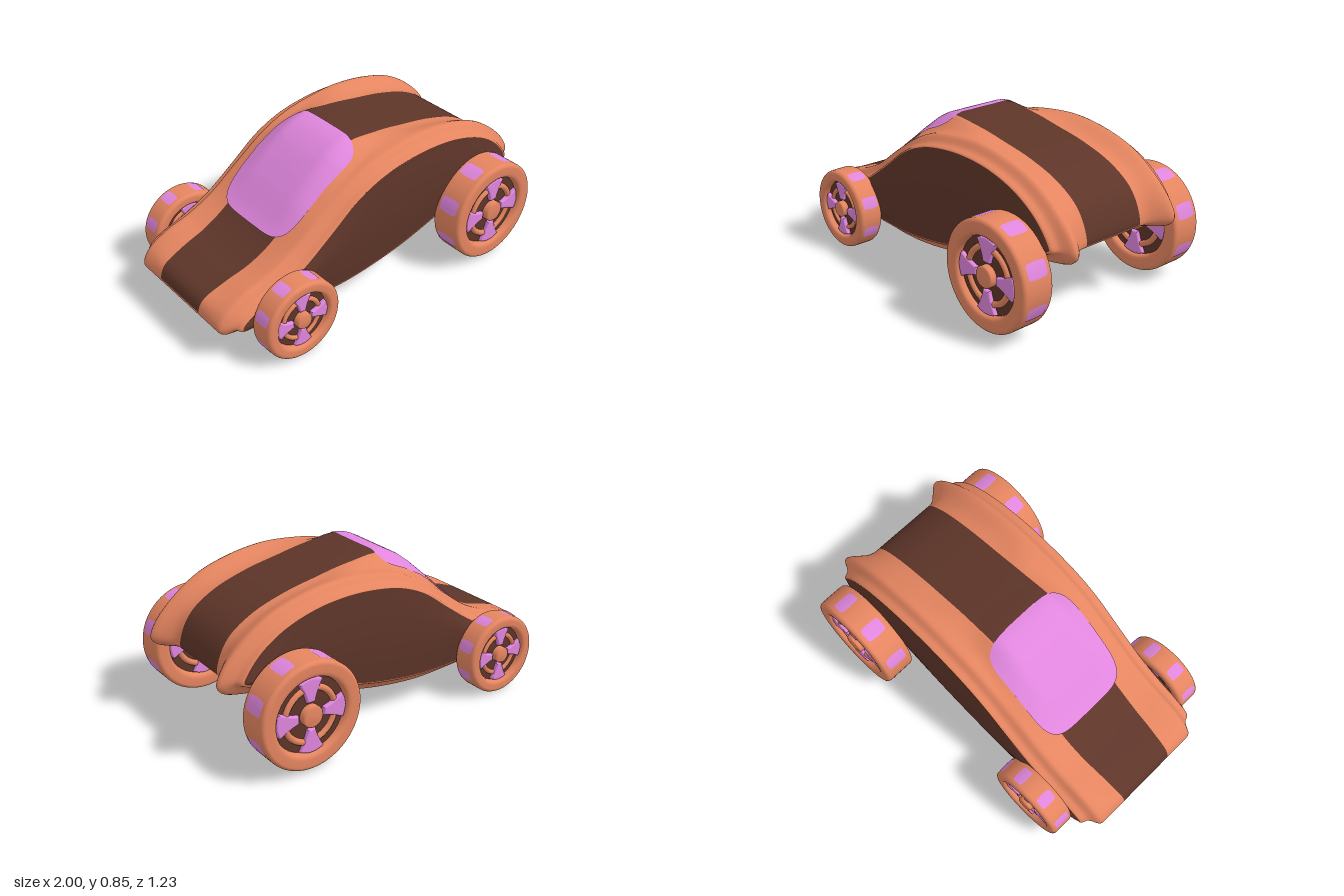
import * as THREE from 'three';

const mat = (color) => new THREE.MeshStandardMaterial({ color });
const orange = mat(0xe58560), dark = mat(0x5e3529), pink = mat(0xe086dd);
const { lerp, smoothstep } = THREE.MathUtils;
const Z0 = 0.01; // body centre line

// Closed side outlines (nose, over the top, tail, back along the floor), matched point by point
const centreLine = [
  [-1, .22], [-.975, .285], [-.85, .34], [-.7, .385], [-.55, .47], [-.38, .638], [-.2, .79], [-.06, .848],
  [.12, .828], [.3, .797], [.5, .76], [.7, .695], [.83, .61], [.89, .515], [.906, .43], [.88, .408],
  [.65, .33], [.4, .242], [.1, .162], [-.2, .122], [-.45, .127], [-.75, .148], [-.93, .165], [-.985, .185]];
const fenderLine = [
  [-1, .22], [-.96, .29], [-.85, .355], [-.7, .4], [-.55, .47], [-.38, .59], [-.2, .71], [-.05, .775],
  [.12, .808], [.3, .822], [.5, .8], [.7, .74], [.86, .635], [.97, .52], [.998, .45], [.965, .406],
  [.67, .337], [.4, .242], [.1, .162], [-.2, .122], [-.45, .127], [-.75, .148], [-.93, .165], [-.985, .185]];
const panelLine = [
  [-.91, .225], [-.895, .25], [-.82, .29], [-.69, .335], [-.54, .405], [-.36, .53], [-.19, .654], [-.04, .72],
  [.12, .753], [.3, .763], [.49, .743], [.67, .685], [.8, .602], [.88, .51], [.895, .475], [.86, .455],
  [.64, .395], [.38, .31], [.1, .235], [-.2, .195], [-.45, .195], [-.72, .205], [-.86, .212], [-.9, .216]];
const COUNT = centreLine.length;
const [centre, fender, panel] = [centreLine, fenderLine, panelLine].map((line) =>
  new THREE.CatmullRomCurve3(line.map(([x, y]) => new THREE.Vector3(x, y, 0)), true));

// Cabin drops to the fenders, more gently along the windscreen; the tail sweeps up to them in a hollow curve
function fenderBlend(t, z) {
  const a = Math.abs(z);
  const cabin = smoothstep(a, .15, lerp(.36, .3, smoothstep(t, 5, 7.5)));
  const hollow = smoothstep(a, .19, .345) ** 1.5;
  return lerp(cabin, hollow, smoothstep(t, 7.5, 9.5));
}
const panelSpine = (x) => .475 + .136 * x - .153 * x * x;

// Point of the body skin: t counts outline points, q insets to the panel rim, k closes the panel
function skin(t, z, q = 0, k = 0) {
  const u = (t / COUNT + 1) % 1;
  const p = centre.getPoint(u).lerp(fender.getPoint(u), fenderBlend(t, z));
  p.lerp(panel.getPoint(u), q);
  p.x *= 1 - .08 * k;
  p.y = lerp(p.y, panelSpine(p.x), k);
  p.z = z + Z0;
  return p;
}

// The stripe is narrow at the nose and widest at the foot of the windscreen
const stripeWidth = (t) => t > 14 ? .92 : lerp(lerp(.92, 1.08, smoothstep(t, 0, 4)), 1, smoothstep(t, 5, 9));

function addBody(car) {
  // Stations from the centre line outwards: [z, q, k]
  const half = [0, .1, .185, .205, .22, .235, .25, .265, .28, .295, .31, .325].map((z) => [z, 0, 0]);
  half.push([.338, .02, 0], [.35, .1, 0], [.36, .28, 0], [.37, .5, 0], [.38, .66, 0], [.39, .75, 0],
    [.402, .8, 0], [.414, .86, 0], [.421, .94, 0], [.42, 1, 0]);
  for (let i = 1; i <= 8; i++) {
    half.push([.42 + .018 * Math.sin(i / 8 * Math.PI / 2), 1, i / 8]);
  }
  const stations = [...half.slice(1).reverse().map(([z, q, k]) => [-z, q, k]), ...half];
  const per = 8, N = COUNT * per, positions = [];
  for (const [z, q, k] of stations) {
    for (let i = 0; i < N; i++) {
      const p = skin(i / per, z, q, k);
      if (Math.abs(z) < .19) p.z = Z0 + z * stripeWidth(i / per);
      positions.push(...p.toArray());
    }
  }
  const faces = { bodyShell: [], centreStripe: [], sidePanels: [] };
  for (let j = 0; j < stations.length - 1; j++) {
    const [a, b] = [stations[j], stations[j + 1]];
    const reach = Math.max(Math.abs(a[0]), Math.abs(b[0]));
    for (let i = 0; i < N; i++) {
      const i2 = (i + 1) % N, t = i / per;
      const inStripe = (reach < .19 && t < 14) || (reach < .11 && t >= 21.8 && t < 22.7);
      const part = a[1] === 1 && b[1] === 1 ? 'sidePanels' : inStripe ? 'centreStripe' : 'bodyShell';
      const [p, r, s, v] = [j * N + i, (j + 1) * N + i, j * N + i2, (j + 1) * N + i2];
      faces[part].push(p, r, s, s, r, v);
    }
  }
  // All parts share one set of smooth normals
  const whole = new THREE.BufferGeometry();
  whole.setAttribute('position', new THREE.Float32BufferAttribute(positions, 3));
  whole.setIndex(Object.values(faces).flat());
  whole.computeVertexNormals();
  for (const [name, index] of Object.entries(faces)) {
    const geo = new THREE.BufferGeometry();
    geo.setAttribute('position', whole.attributes.position);
    geo.setAttribute('normal', whole.attributes.normal);
    geo.setIndex(index);
    const mesh = new THREE.Mesh(geo, name === 'bodyShell' ? orange : dark);
    mesh.name = name;
    car.add(mesh);
  }
}

// Rounded windscreen laid on the skin as concentric rings
function addWindscreen(car) {
  const rings = 16, segs = 64, positions = [], index = [];
  const round = (v) => Math.sign(v) * Math.abs(v) ** .42;
  for (let r = 0; r <= rings; r++) {
    for (let s = 0; s < segs; s++) {
      const a = s / segs * Math.PI * 2, f = r / rings;
      const p = skin(5.57 + 1.62 * f * round(Math.cos(a)), .275 * f * round(Math.sin(a)));
      positions.push(p.x - .004, p.y + .006, p.z);
      if (r === rings) continue;
      const s2 = (s + 1) % segs, [p0, p1, p2, p3] = [r * segs + s, r * segs + s2, (r + 1) * segs + s, (r + 1) * segs + s2];
      index.push(p0, p1, p2, p2, p1, p3);
    }
  }
  const geo = new THREE.BufferGeometry();
  geo.setAttribute('position', new THREE.Float32BufferAttribute(positions, 3));
  geo.setIndex(index);
  geo.computeVertexNormals();
  const glass = pink.clone();
  glass.side = THREE.DoubleSide;
  const mesh = new THREE.Mesh(geo, glass);
  mesh.name = 'windscreen';
  car.add(mesh);
}

function addMesh(parent, name, geo, material, z = 0) {
  const mesh = new THREE.Mesh(geo, material);
  mesh.name = name;
  mesh.position.z = z;
  parent.add(mesh);
  return mesh;
}
const lathe = (points) => new THREE.LatheGeometry(points.map(([x, y]) => new THREE.Vector2(x, y)), 64).rotateX(Math.PI / 2);

// One recessed wheel face looking along +z, with the tyre wall at z = h
function makeWheelFace(r, h) {
  const face = new THREE.Group();
  face.name = 'wheelFace';
  addMesh(face, 'wheelDisc', new THREE.CircleGeometry(.71 * r, 48), dark, h - .035);
  addMesh(face, 'wheelRing', new THREE.TorusGeometry(.5 * r, .06 * r, 10, 48), orange, h - .034);
  addMesh(face, 'hubCap', lathe([[.2 * r, 0], [.2 * r, .035], [.17 * r, .043], [0, .045]]), orange, h - .04);
  // Four softly rounded spokes that widen outwards
  const wedge = new THREE.Shape();
  wedge.moveTo(-.05 * r, .28 * r);
  wedge.quadraticCurveTo(-.09 * r, .45 * r, -.19 * r, .62 * r);
  wedge.quadraticCurveTo(0, .71 * r, .19 * r, .62 * r);
  wedge.quadraticCurveTo(.09 * r, .45 * r, .05 * r, .28 * r);
  const spoke = new THREE.ExtrudeGeometry(wedge, { depth: .012, bevelSize: .03 * r, bevelThickness: .01, bevelSegments: 3 });
  for (let i = 0; i < 4; i++) addMesh(face, 'spoke', spoke, pink, h - .035).rotation.z = i * Math.PI / 2;
  return face;
}

// Wheel of radius r and width w about the z axis, alike on both sides
function makeWheel(r, w) {
  const wheel = new THREE.Group();
  const h = w / 2, c = .022;
  const wall = [[.69 * r, h - .045], [.7 * r, h - .022], [.72 * r, h - .009], [.75 * r, h - .002], [.8 * r, h]];
  for (let i = 0; i <= 5; i++) {
    const a = i / 5 * Math.PI / 2;
    wall.push([r - c + c * Math.sin(a), h - c + c * Math.cos(a)]);
  }
  addMesh(wheel, 'tyre', lathe([...wall.map(([x, y]) => [x, -y]), ...wall.reverse()]), orange);
  const outer = makeWheelFace(r, h), inner = makeWheelFace(r, h);
  inner.rotation.y = Math.PI;
  wheel.add(outer, inner);

  // Eight tread pads with rounded corners around the tyre
  const span = .3;
  const pad = new THREE.CylinderGeometry(r + .002, r + .002, w * .64, 24, 1, true, -span / 2, span);
  const pos = pad.attributes.position;
  for (let i = 0; i < pos.count; i++) {
    const u = Math.min(1, Math.abs(Math.atan2(pos.getX(i), pos.getZ(i))) / (span / 2));
    pos.setY(i, pos.getY(i) * (1 - u ** 6) ** .2);
  }
  pad.rotateX(Math.PI / 2);
  for (let i = 0; i < 8; i++) addMesh(wheel, 'treadPad', pad, pink).rotation.z = (i + .5) * Math.PI / 4;
  return wheel;
}

export function createModel() {
  const car = new THREE.Group();
  car.name = 'toyCar';
  addBody(car);
  addWindscreen(car);
  for (const [name, x, y, r, w, z, dz] of [
    ['frontWheel', -.641, .222, .22, .14, .492, .008], ['rearWheel', .646, .304, .285, .184, .517, 0]]) {
    for (const side of [1, -1]) {
      const wheel = makeWheel(r, w);
      wheel.name = name;
      wheel.position.set(x, y, side * z + dz);
      car.add(wheel);
    }
  }
  return car;
}
